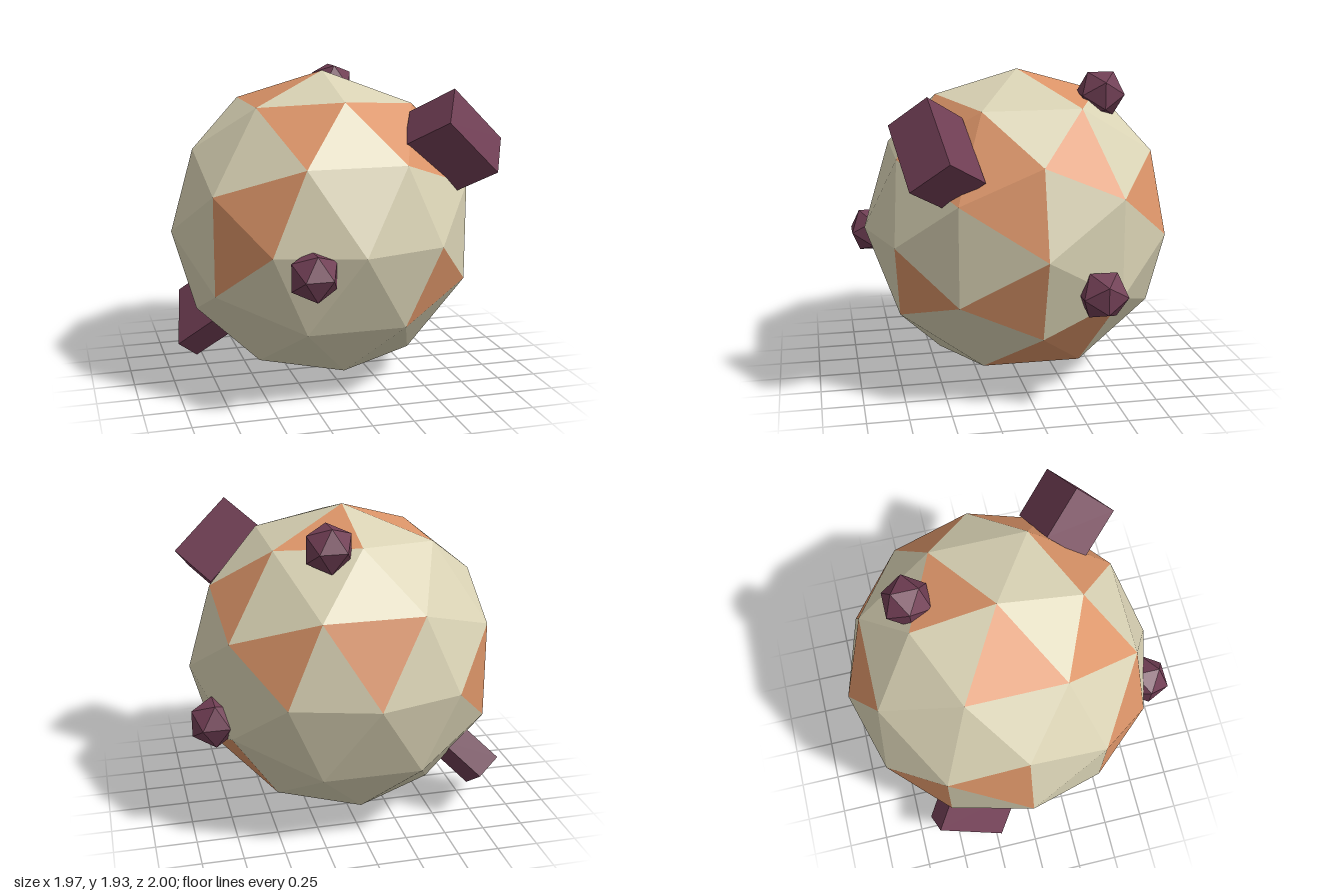
import * as THREE from 'three';

const bone = new THREE.MeshStandardMaterial({ color: 0xd9d2b4 });
bone.name = 'bone';
const orange = new THREE.MeshStandardMaterial({ color: 0xdb9468 });
orange.name = 'orange';
const plum = new THREE.MeshStandardMaterial({ color: 0x703e54 });
plum.name = 'plum';

const CENTRE = new THREE.Vector3(-0.018, 0.97, -0.033);
const RADIUS = 0.967;

// Orange facets: direction of the facet in the + + + octant, then the octants it is repeated in
const PATCHES = [
  [[0.81, 2.16, 1.64], ['-++', '+++']],
  [[1, 1, 1], ['+++']],
  [[2.16, 1.64, 0.81], ['+++', '++-', '+--']],
  [[2.66, 0.84, 0.5], ['+++', '-+-', '+-+']],
  [[1.64, 0.81, 2.16], ['++-', '-++', '+-+']],
  [[2.14, 0, 1.85], ['-++', '-+-']],
  [[1, 2.62, 0], ['-++']],
  [[0.5, 2.66, 0.84], ['++-', '+-+', '+--']],
  [[0, 1, 2.62], ['++-']],
  [[1.85, 2.14, 0], ['+-+']],
];

// Flat-faceted ball, turned so that its poles lie on facet edges
function facetedBall(radius, detail) {
  const geometry = new THREE.IcosahedronGeometry(radius, detail).rotateY(Math.PI / 2);
  geometry.computeVertexNormals();
  return geometry;
}

function add(group, name, geometry, material, position) {
  const mesh = new THREE.Mesh(geometry, material);
  mesh.name = name;
  mesh.position.copy(position);
  group.add(mesh);
  return mesh;
}

// Box placed by its centre, size and two of its axes (made exactly square)
function addBlock(group, name, centre, size, axisX, axisY) {
  const x = new THREE.Vector3(...axisX).normalize();
  const z = new THREE.Vector3().crossVectors(x, new THREE.Vector3(...axisY)).normalize();
  const y = new THREE.Vector3().crossVectors(z, x);
  const block = add(group, name, new THREE.BoxGeometry(...size), plum, centre);
  block.quaternion.setFromRotationMatrix(new THREE.Matrix4().makeBasis(x, y, z));
}

export function createModel() {
  const model = new THREE.Group();
  model.name = 'facetedRock';

  // Main body: each facet is assigned to bone or orange
  const body = facetedBall(RADIUS, 1);
  const targets = PATCHES.flatMap(([dir, octants]) => octants.map((signs) =>
    new THREE.Vector3(...dir.map((v, i) => (signs[i] === '-' ? -v : v))).normalize()));
  const pos = body.attributes.position;
  const corner = new THREE.Vector3();
  body.clearGroups();
  for (let i = 0; i < pos.count; i += 3) {
    const middle = new THREE.Vector3();
    for (let k = 0; k < 3; k++) middle.add(corner.fromBufferAttribute(pos, i + k));
    middle.normalize();
    body.addGroup(i, 3, targets.some((t) => t.dot(middle) > 0.995) ? 1 : 0);
  }
  add(model, 'body', body, [bone, orange], CENTRE);

  // Small faceted knobs half sunk into the body
  const knob = facetedBall(0.155, 0);
  [['frontKnob', -0.31, 0.876, 0.87],
    ['sideKnob', 0.85, 0.733, -0.372],
    ['topKnob', 0.176, 1.797, -0.516],
  ].forEach(([name, x, y, z]) => add(model, name, knob, plum, new THREE.Vector3(x, y, z)));

  // Upper block
  addBlock(model, 'upperBlock', new THREE.Vector3(0.631, 1.549, 0.55),
    [0.47, 0.335, 0.292], [0.34, -0.315, -0.08], [0.207, 0.142, 0.22]);

  // Lower block, standing out from the underside
  const along = new THREE.Vector3(0.066, 0.25, -0.397);
  const across = new THREE.Vector3(0.126, -0.095, -0.05);
  const inward = new THREE.Vector3(0.64, 0.596, 0.482).multiplyScalar(0.335);
  const lower = new THREE.Vector3(-0.938, 0.164, -0.22)
    .addScaledVector(along, 0.5).addScaledVector(across, 0.5).addScaledVector(inward, 0.5);
  addBlock(model, 'lowerBlock', lower, [along.length(), across.length(), 0.335],
    along.toArray(), across.toArray());

  return model;
}
